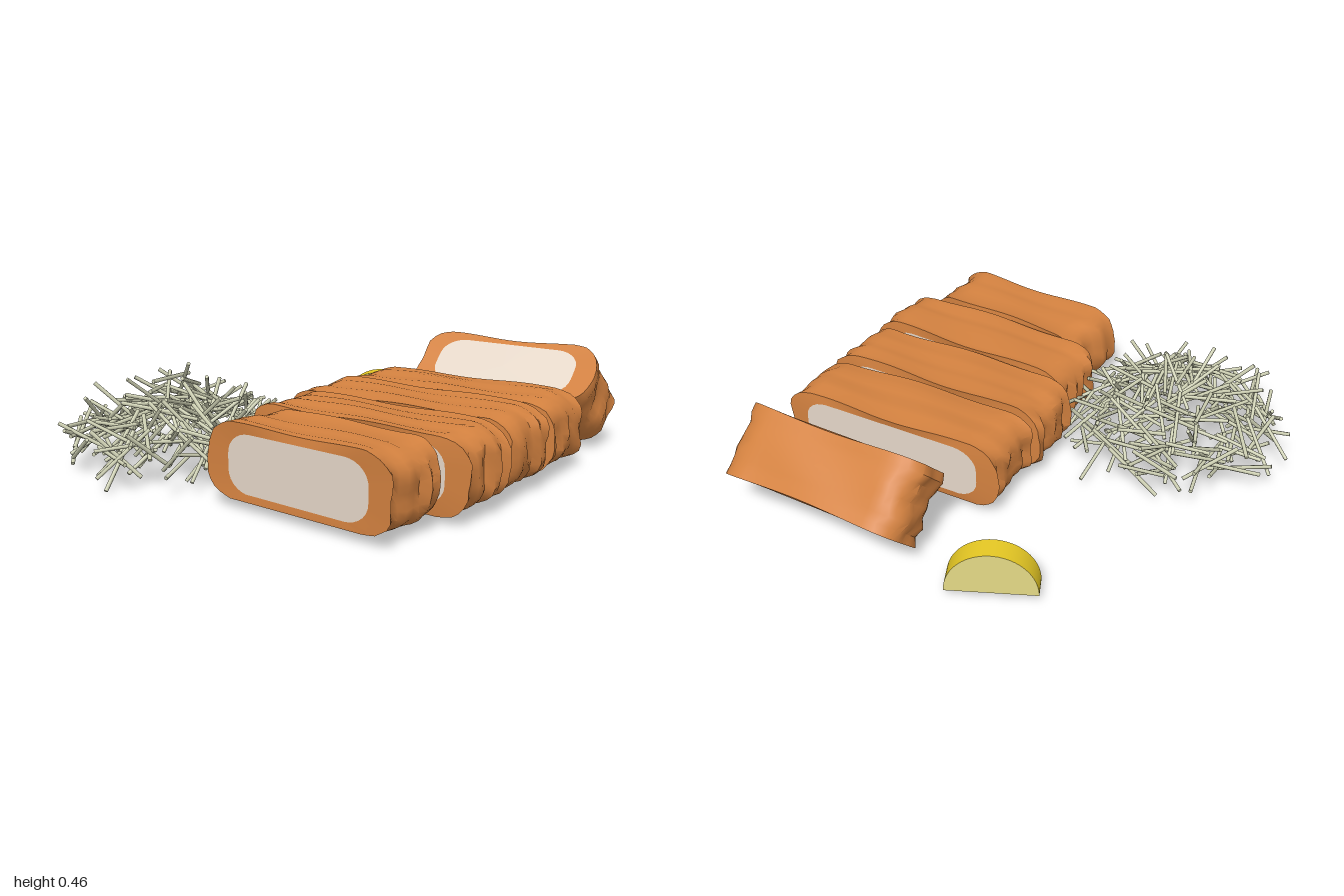
import * as THREE from 'three';
import { mergeGeometries, toCreasedNormals } from 'three/addons/utils/BufferGeometryUtils.js';

const flat = (name, color) => {
  const m = new THREE.MeshStandardMaterial({ color });
  m.name = name;
  return m;
};

// Small seeded random generator, returns 0..1
let seed = 7;
const rnd = () => {
  seed = (seed * 1664525 + 1013904223) >>> 0;
  return seed / 4294967296;
};
const jitter = (a) => (rnd() * 2 - 1) * a;

const RING = 52;

// Evenly spaced points round a rectangle with elliptical corners (x of the point is model z)
function ring(hz, hy, cz, cy) {
  const s = new THREE.Shape();
  const q = Math.PI / 2;
  s.moveTo(-hz + cz, -hy);
  [[1, -1, -q], [1, 1, 0], [-1, 1, q], [-1, -1, 2 * q]].forEach(([sz, sy, a]) =>
    s.absellipse(sz * (hz - cz), sy * (hy - cy), cz, cy, a, a + q, false, 0));
  return s.getSpacedPoints(RING).slice(0, RING);
}

function indexed(pos, idx) {
  const g = new THREE.BufferGeometry();
  g.setAttribute('position', new THREE.Float32BufferAttribute(pos, 3));
  g.setIndex(idx);
  return g;
}

// One slice of breaded cutlet: ragged crust round a pale core, cut faces at -x and +x
function makeSlice(name, hw, hy, hz, crustMat, meatMat) {
  const outer = ring(hz, hy, 0.13, 0.095);
  const core = ring(hz - 0.09, hy - 0.034, 0.11, 0.085);
  const stations = 9;
  const pos = [], idx = [];
  const coreLoop = (x) => core.forEach((p) => pos.push(x, p.y, p.x));

  // Crust loops run from one core outline, over the outside, to the other core outline
  coreLoop(-hw);
  for (let i = 0; i < stations; i++) {
    const t = (i / (stations - 1)) * 2 - 1;
    const shift = [jitter(0.018), jitter(0.018)];
    const lift = jitter(0.006);
    const phase = rnd() * 6;
    outer.forEach((p) => {
      const end = Math.max(0, (Math.abs(p.x) - hz + 0.16) / 0.16);
      const x = t * (hw + 0.006 * Math.sin(p.x * 7 + hz * 40));
      const y = p.y + lift + 0.005 * Math.sin(p.x * 11 + t * 2 + hz * 30) + jitter(0.004) * end;
      const ripple = 0.007 * Math.sin(p.y * 28 + phase);
      const z = p.x + (shift[p.x > 0 ? 1 : 0] + ripple + jitter(0.003)) * end;
      pos.push(x, y, z);
    });
  }
  coreLoop(hw);
  for (let i = 0; i <= stations; i++) {
    for (let j = 0; j < RING; j++) {
      const k = (j + 1) % RING;
      const a = i * RING + j, b = i * RING + k;
      idx.push(a, a + RING, b, b, a + RING, b + RING);
    }
  }
  const crust = new THREE.Mesh(toCreasedNormals(indexed(pos, idx), 0.75), crustMat);
  crust.name = 'crust';

  // Flat core faces on both cuts
  const mPos = [], mIdx = [];
  [-1, 1].forEach((side, n) => {
    const c = n * (RING + 1);
    mPos.push(side * hw, 0, 0);
    core.forEach((p) => mPos.push(side * hw, p.y, p.x));
    for (let j = 0; j < RING; j++) {
      const a = c + 1 + j, b = c + 1 + ((j + 1) % RING);
      mIdx.push(c, ...(side < 0 ? [a, b] : [b, a]));
    }
  });
  const meatGeo = indexed(mPos, mIdx);
  meatGeo.computeVertexNormals();
  const meat = new THREE.Mesh(meatGeo, meatMat);
  meat.name = 'meatFaces';

  const g = new THREE.Group();
  g.name = name;
  g.add(crust, meat);
  return g;
}

// Loose low cone of straight thin strands
function makeCabbage(mat) {
  const up = new THREE.Vector3(0, 1, 0);
  const strands = [];
  const count = 200;
  for (let i = 0; i < count; i++) {
    // Golden-angle spread keeps the heap evenly filled
    const a = i * 2.39996 + jitter(0.3);
    const r = 0.45 * Math.pow((i + 0.5) / count, 0.55);
    const len = 0.17 + rnd() * 0.12;
    const yaw = rnd() * Math.PI * 2;
    const tilt = jitter(0.85);
    const dir = new THREE.Vector3(Math.cos(yaw) * Math.cos(tilt), Math.sin(tilt), Math.sin(yaw) * Math.cos(tilt));
    const top = 0.15 + 0.25 * (1 - r / 0.45);
    const low = 0.01 + Math.abs(dir.y) * len / 2;
    const y = Math.max(low, 0.07 + (top - 0.07) * Math.sqrt(rnd()));
    const g = new THREE.CylinderGeometry(0.0085, 0.0085, len, 6);
    g.applyQuaternion(new THREE.Quaternion().setFromUnitVectors(up, dir));
    g.translate(-0.445 + r * Math.cos(a), y, -0.465 + r * Math.sin(a));
    strands.push(g);
  }
  const mesh = new THREE.Mesh(mergeGeometries(strands), mat);
  mesh.name = 'shreddedCabbage';
  return mesh;
}

// Half-round lemon wedge standing on its straight cut
function makeLemon(rind, flesh) {
  const R = 0.183, T = 0.096;
  const half = new THREE.CylinderGeometry(R, R, T, 40, 1, false, Math.PI / 2, Math.PI);
  half.rotateX(Math.PI / 2);
  const body = new THREE.Mesh(half, [rind, flesh, flesh]);
  body.name = 'lemonHalfRound';
  const base = new THREE.Mesh(new THREE.PlaneGeometry(2 * R, T).rotateX(Math.PI / 2), rind);
  base.name = 'lemonBase';
  const g = new THREE.Group();
  g.name = 'lemonWedge';
  g.add(body, base);
  g.position.set(0.82, 0.036, -0.303);
  g.rotation.y = -1.13;
  return g;
}

export function createModel() {
  const crust = flat('fried crust', 0xd48240);
  const meat = flat('pale meat', 0xf0e1d2);
  const cabbage = flat('cabbage', 0xcfd1b4);
  const rind = flat('lemon rind', 0xe8ca24);
  const flesh = flat('lemon flesh', 0xe4da86);

  const model = new THREE.Group();
  model.name = 'cutletMeal';

  // x, y, z, half length, yaw, roll
  [
    [-0.675, 0.185, 0.46, 0.425, -0.075, 0],
    [-0.347, 0.185, 0.465, 0.508, -0.035, 0],
    [-0.016, 0.185, 0.435, 0.53, 0, 0],
    [0.313, 0.185, 0.433, 0.515, 0.03, 0],
    [0.786, 0.25, 0.463, 0.43, 0, -0.78],
  ].forEach(([x, y, z, hz, yaw, roll], i) => {
    const s = makeSlice('cutletSlice' + (i + 1), 0.15, 0.15, hz, crust, meat);
    s.position.set(x, y, z);
    s.rotation.set(0, yaw, roll);
    model.add(s);
  });

  model.add(makeCabbage(cabbage), makeLemon(rind, flesh));
  return model;
}
